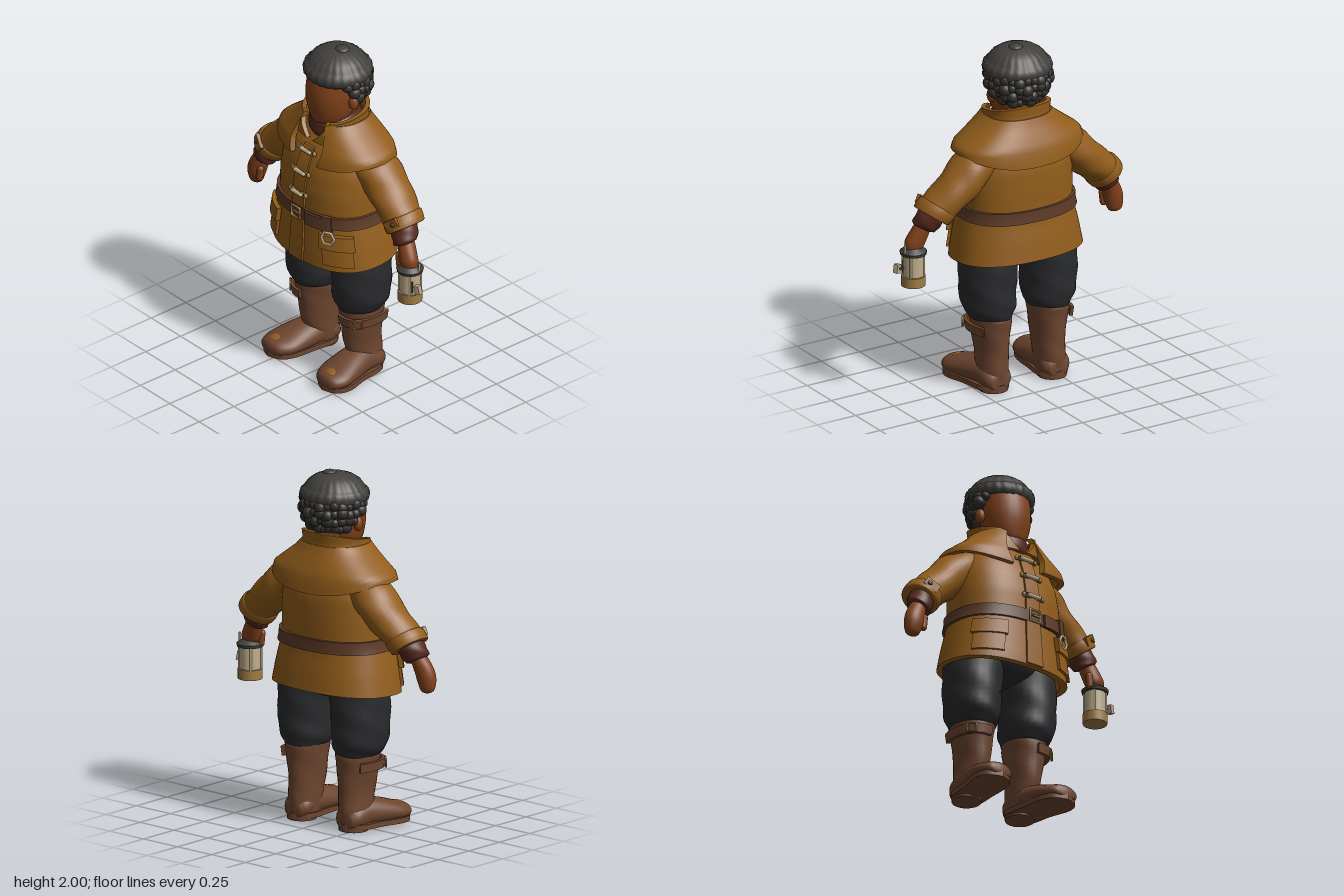
import * as THREE from 'three';

const mat = (name, color) => Object.assign(new THREE.MeshStandardMaterial({ color }), { name });
const M = {
  coat: mat('ochre coat', 0x925d1b), skin: mat('brown skin', 0x82421a), pants: mat('charcoal cloth', 0x2a2b2d),
  boot: mat('boot leather', 0x6e4630), belt: mat('belt leather', 0x5e3b28), hat: mat('grey wool', 0x42403d),
  hair: mat('dark hair', 0x353330), scarf: mat('maroon knit', 0x56281f), cream: mat('cream', 0xbfae8c),
  brass: mat('brass', 0xa07c45),
};

// Body profiles: [y, half width, front z, back z]
const COAT = [[0.775, 0.385, 0.27, -0.285], [0.9, 0.362, 0.262, -0.268], [1.0, 0.34, 0.255, -0.25], [1.06, 0.325, 0.252, -0.245],
  [1.2, 0.325, 0.247, -0.245], [1.32, 0.315, 0.225, -0.24], [1.42, 0.28, 0.185, -0.215], [1.5, 0.22, 0.125, -0.195], [1.58, 0.13, 0.09, -0.15]];
const CAPE = [[1.33, 0.375, 0.225, -0.26], [1.4, 0.377, 0.215, -0.25], [1.45, 0.367, 0.2, -0.238], [1.5, 0.3, 0.18, -0.215],
  [1.56, 0.22, 0.16, -0.185], [1.62, 0.16, 0.135, -0.16]];
const COLLAR = [[1.47, 0.225, 0.17, -0.2], [1.54, 0.2, 0.165, -0.185], [1.6, 0.172, 0.145, -0.16], [1.67, 0.183, 0.15, -0.165]];
const SHAFT = [[0.3, 0.1, 0.085, -0.165], [0.44, 0.116, 0.102, -0.182]];

const lerp = THREE.MathUtils.lerp;
const pw = (v, e) => Math.sign(v) * Math.abs(v) ** e;

// Point on a profile at height y and angle t (0 = front), pushed out by off
function surf(rows, y, t, off = 0) {
  let i = 0;
  while (i < rows.length - 2 && y > rows[i + 1][0]) i++;
  const a = rows[i], b = rows[i + 1], k = THREE.MathUtils.clamp((y - a[0]) / (b[0] - a[0]), 0, 1);
  const [rx, f, r] = [1, 2, 3].map(j => lerp(a[j], b[j], k));
  return new THREE.Vector3((rx + off) * pw(Math.sin(t), 0.85), y, (f + r) / 2 + ((f - r) / 2 + off) * pw(Math.cos(t), 0.85));
}

// Curved plate wrapped over a profile; angles depend on height, heights on angle
function wrap(rows, ang, hgt, o0, o1, nx = 24, ny = 6) {
  const g = new THREE.BoxGeometry(1, 1, 1, nx, ny, 1), p = g.attributes.position;
  for (let i = 0; i < p.count; i++) {
    const [a0, a1] = ang(p.getY(i) + 0.5), t = lerp(a0, a1, p.getX(i) + 0.5);
    const [y0, y1] = hgt(t);
    const q = surf(rows, lerp(y0, y1, p.getY(i) + 0.5), t, lerp(o0, o1, p.getZ(i) + 0.5));
    p.setXYZ(i, q.x, q.y, q.z);
  }
  g.computeVertexNormals();
  return g;
}

// Skin over rings [x, y, z, ru, rv, tilt]; flat = rings stand upright for a path along z
function loft(rows, { sub = 4, n = 28, upright = false, ripple = 0 } = {}) {
  const P = new THREE.CatmullRomCurve3(rows.map(r => new THREE.Vector3(r[0], r[1], r[2])), false, 'catmullrom');
  const R = new THREE.CatmullRomCurve3(rows.map(r => new THREE.Vector3(r[3], r[4], r[5] || 0)), false, 'catmullrom');
  const m = (rows.length - 1) * sub, pos = [], idx = [];
  for (let i = 0; i <= m; i++) {
    const c = P.getPoint(i / m), r = R.getPoint(i / m);
    for (let j = 0; j < n; j++) {
      const t = j / n * Math.PI * 2, w = 1 + ripple * Math.sin(3 * t + i * 1.1);
      const u = Math.sin(t) * r.x * w, v = Math.cos(t) * r.y * w;
      if (upright) pos.push(c.x + u, c.y + v, c.z);
      else pos.push(c.x + u * Math.cos(r.z), c.y + u * Math.sin(r.z), c.z + v);
      const k = (j + 1) % n, a = i * n;
      if (i < m) idx.push(a + j, a + k, a + n + k, a + j, a + n + k, a + n + j);
    }
  }
  const s = P.getPoint(0), e = P.getPoint(1), b = (m + 1) * n;
  pos.push(s.x, s.y, s.z, e.x, e.y, e.z);
  for (let j = 0; j < n; j++) idx.push(b, (j + 1) % n, j, b + 1, m * n + j, m * n + (j + 1) % n);
  const g = new THREE.BufferGeometry();
  g.setAttribute('position', new THREE.Float32BufferAttribute(pos, 3));
  g.setIndex(idx);
  g.computeVertexNormals();
  return g;
}

export function createModel() {
  const root = new THREE.Group(), body = new THREE.Group();
  root.name = 'lanternKeeper';
  body.name = 'figure';
  body.position.x = -0.033;
  root.add(body);
  const add = (name, geo, m, pos = [0, 0, 0], rot = [0, 0, 0], scl = [1, 1, 1]) => {
    const o = new THREE.Mesh(geo, m);
    o.name = name;
    o.position.set(...pos); o.rotation.set(...rot); o.scale.set(...scl);
    body.add(o);
    return o;
  };
  const fixed = (...v) => () => v;
  const ball = new THREE.SphereGeometry(1, 20, 14);
  const frame = (w, h) => new THREE.TorusGeometry(w, h, 6, 4).rotateZ(Math.PI / 4);

  // Coat: body with a hem that dips at the front
  const coat = wrap(COAT, fixed(-Math.PI, Math.PI), t => [0.775 - 0.02 * Math.cos(t), 1.58], -0.04, 0, 64, 24);
  add('coatBody', coat, M.coat);
  add('coatLining', new THREE.CylinderGeometry(0.33, 0.33, 0.02, 32), M.coat, [0, 0.83, -0.01], [0, 0, 0], [1, 1, 0.72]);
  add('coatPlacket', wrap(COAT, fixed(-0.1, 0.1), fixed(0.76, 1.44), 0, 0.014, 6, 16), M.coat);
  const gap = v => lerp(0.22, 0.42, v);
  add('shoulderCape', wrap(CAPE, v => [gap(v), 2 * Math.PI - gap(v)],
    t => [1.345 + 0.07 * Math.sin(t) ** 2 + 0.02 * Math.max(0, Math.cos(t)), 1.6], -0.02, 0.012, 64, 12), M.coat);
  add('collar', wrap(COLLAR, v => [lerp(0.06, 0.6, v), 2 * Math.PI - lerp(0.06, 0.6, v)],
    t => [1.48, 1.635 - 0.035 * Math.cos(t)], -0.012, 0.012, 48, 8), M.coat);

  // Belt, buckle and hanging ring
  add('belt', wrap(COAT, fixed(-Math.PI, Math.PI), fixed(1.02, 1.09), -0.01, 0.016, 64, 2), M.belt);
  add('beltEnd', wrap(COAT, fixed(0.15, 0.55), fixed(1.012, 1.085), 0.016, 0.03, 10, 2), M.belt);
  add('beltBuckle', frame(0.048, 0.008), M.brass, [0, 1.055, 0.28]);
  add('buckleTongue', new THREE.BoxGeometry(0.06, 0.01, 0.01), M.brass, [0.01, 1.055, 0.282]);
  const d = surf(COAT, 0.975, 0.6, 0.03);
  add('ringLoop', wrap(COAT, fixed(0.5, 0.68), fixed(1.0, 1.1), 0.01, 0.035, 4, 2), M.belt);
  add('hangingRing', new THREE.TorusGeometry(0.04, 0.009, 6, 6), M.cream, d.toArray(), [0, 0.4, 0]);

  // Toggles with cord loops
  for (const y of [1.42, 1.3, 1.175]) {
    const p = surf(COAT, y, 0, 0.026);
    add('toggle', new THREE.CapsuleGeometry(0.012, 0.07, 4, 10), M.cream, p.toArray(), [0, 0, Math.PI / 2]);
    for (const s of [-1, 1]) {
      add('cordLoop', new THREE.TorusGeometry(0.025, 0.006, 6, 14), M.brass, [s * 0.04, y, p.z - 0.008], [0, s * 0.15, 0], [1.2, 0.5, 1]);
      add('cordKnot', ball, M.brass, [s * 0.065, y, p.z - 0.012], [0, 0, 0], [0.011, 0.016, 0.012]);
    }
  }

  for (const s of [-1, 1]) {
    const side = (a, b) => s > 0 ? fixed(a, b) : fixed(-b, -a);
    const L = rows => rows.map(([x, y, z, u, v, t = 0]) => [x * s, y, z, u, v, t * s]);

    // Pockets
    add('pocket', wrap(COAT, side(0.46, 1.06), fixed(0.8, 0.95), 0, 0.016, 12, 4), M.coat);
    add('pocketFlap', wrap(COAT, side(0.42, 1.1), fixed(0.9, 0.985), 0.005, 0.03, 12, 3), M.coat);

    // Sleeve, cuff and hand
    add('sleeve', loft(L([[0.56, 1.105, -0.035, 0.098, 0.11, 0.62], [0.5, 1.165, -0.045, 0.1, 0.117, 0.66],
      [0.4, 1.25, -0.055, 0.107, 0.128, 0.7], [0.31, 1.34, -0.05, 0.11, 0.132, 0.7], [0.22, 1.4, -0.04, 0.1, 0.12, 0.75]]), { ripple: 0.025 }), M.coat);
    add('cuff', loft(L([[0.568, 1.097, -0.034, 0.09, 0.1, 0.62], [0.564, 1.1, -0.034, 0.106, 0.116, 0.62],
      [0.528, 1.143, -0.04, 0.107, 0.118, 0.64], [0.522, 1.148, -0.04, 0.095, 0.105, 0.64]]), { sub: 2 }), M.coat);
    add('cuffTab', new THREE.BoxGeometry(0.09, 0.05, 0.02), M.coat, [s * 0.562, 1.15, 0.068], [0, s * 0.35, s * 0.62]);
    add('cuffButton', ball, M.belt, [s * 0.58, 1.155, 0.076], [0, s * 0.35, 0], [0.014, 0.014, 0.008]);
    add('wristKnit', loft(L([[0.6, 1.02, -0.005, 0.055, 0.055, 0.5], [0.594, 1.032, -0.008, 0.071, 0.07, 0.5],
      [0.575, 1.07, -0.02, 0.074, 0.078, 0.55], [0.55, 1.115, -0.03, 0.07, 0.08, 0.6]]), { ripple: 0.03 }), M.scarf);
    const grip = s > 0 ? 0.035 : 0;
    add('hand', loft(L([[0.656, 0.84 + grip, 0.01, 0.012, 0.012, 0.1], [0.656, 0.855 + grip, 0.01, 0.04, 0.034, 0.15],
      [0.648, 0.91 + grip / 2, 0.012, 0.056, 0.048, 0.25], [0.632, 0.965, 0.008, 0.056, 0.05, 0.35], [0.6, 1.035, -0.005, 0.045, 0.048, 0.45]])), M.skin);
    add('thumb', new THREE.CapsuleGeometry(0.02, 0.06, 5, 12), M.skin, [s * 0.592, 0.925, 0.035], [0, 0, s * 0.12]);

    // Trouser leg
    add('trouserLeg', loft(L([[0.185, 0.415, -0.04, 0.1, 0.125], [0.187, 0.44, -0.035, 0.122, 0.145], [0.192, 0.5, -0.03, 0.148, 0.168],
      [0.197, 0.6, -0.028, 0.154, 0.174], [0.192, 0.72, -0.028, 0.162, 0.175], [0.18, 0.86, -0.03, 0.165, 0.17]]), { ripple: 0.018 }), M.pants);

    // Boot
    add('bootShaft', loft(L([[0.19, 0.03, -0.065, 0.083, 0.095], [0.186, 0.12, -0.058, 0.085, 0.108], [0.182, 0.22, -0.045, 0.086, 0.12],
      [0.185, 0.34, -0.04, 0.102, 0.13], [0.185, 0.425, -0.04, 0.114, 0.139], [0.185, 0.438, -0.04, 0.105, 0.13]]), { ripple: 0.012 }), M.boot);
    add('bootFoot', loft(L([[0.234, 0.055, 0.281, 0.02, 0.02], [0.233, 0.062, 0.262, 0.078, 0.042], [0.225, 0.068, 0.19, 0.112, 0.058],
      [0.21, 0.082, 0.08, 0.105, 0.078], [0.196, 0.09, -0.03, 0.09, 0.085], [0.19, 0.075, -0.12, 0.085, 0.07], [0.19, 0.06, -0.16, 0.055, 0.045]]), { upright: true }), M.boot);
    const outline = [[0.232, 0.285], [0.31, 0.25], [0.338, 0.17], [0.305, 0.04], [0.28, -0.1], [0.19, -0.166],
      [0.102, -0.1], [0.108, 0.04], [0.12, 0.17], [0.155, 0.25]].map(([x, z]) => new THREE.Vector2(x * s, -z));
    const sole = new THREE.ExtrudeGeometry(new THREE.Shape(new THREE.SplineCurve([...outline, outline[0]]).getPoints(50)),
      { depth: 0.03, bevelEnabled: false });
    add('sole', sole, M.boot, [0, 0.014, 0], [-Math.PI / 2, 0, 0]);
    add('heel', new THREE.CylinderGeometry(0.085, 0.082, 0.04, 24), M.boot, [s * 0.19, 0.02, -0.08]);
    add('toePatch', ball, M.coat, [s * 0.236, 0.109, 0.228], [0.35, 0, 0], [0.034, 0.009, 0.03]);
    add('bootStrap', wrap(SHAFT, side(-0.1, 2.2), fixed(0.345, 0.398), 0.002, 0.02, 18, 2), M.boot, [s * 0.185, 0, 0]);
    const b = surf(SHAFT, 0.372, s * 0.8, 0.024);
    add('strapBuckle', frame(0.034, 0.006), M.brass, [b.x + s * 0.185, b.y, b.z], [0, s * 0.75, 0]);

    // Ear
    add('ear', ball, M.skin, [s * 0.158, 1.715, -0.005], [0, s * -0.3, 0], [0.024, 0.042, 0.03]);
  }
  add('trouserSeat', ball, M.pants, [0, 0.85, -0.03], [0, 0, 0], [0.29, 0.13, 0.19]);

  // Neck scarf
  add('scarf', loft([[0, 1.42, -0.01, 0.08, 0.1], [0, 1.48, -0.01, 0.12, 0.14], [0, 1.53, -0.01, 0.14, 0.155],
    [0, 1.58, -0.01, 0.14, 0.145], [0, 1.61, -0.01, 0.11, 0.11]], { ripple: 0.02 }), M.scarf);

  // Head, hair and curls
  add('head', loft([[0, 1.555, 0.04, 0.03, 0.03], [0, 1.57, 0.035, 0.085, 0.095], [0, 1.62, 0.025, 0.122, 0.125], [0, 1.7, 0.02, 0.14, 0.145],
    [0, 1.78, 0.015, 0.143, 0.148], [0, 1.87, 0, 0.14, 0.145]]), M.skin);
  add('neck', new THREE.CylinderGeometry(0.095, 0.11, 0.16, 24), M.skin, [0, 1.6, -0.03]);
  add('hairMass', ball, M.hair, [0, 1.785, -0.06], [0, 0, 0], [0.168, 0.13, 0.135]);
  for (let row = 0; row < 4; row++) {
    const n = 17 - row * 2, span = 1.95 - row * 0.24;
    for (let i = 0; i < n; i++) {
      const t = Math.PI + lerp(-span, span, i / (n - 1)), r = [0.165, 0.168, 0.155, 0.125][row];
      const k = 0.032 + 0.006 * Math.sin(i * 2.3 + row);
      add('hairCurl', ball, M.hair, [Math.sin(t) * r, 1.83 - row * 0.043 + 0.008 * Math.sin(i * 1.9), -0.025 + Math.cos(t) * r], [0, 0, 0], [k, k, k]);
    }
  }

  // Ribbed knitted hat
  const hat = new THREE.LatheGeometry([[0.15, 1.835], [0.18, 1.828], [0.194, 1.845], [0.198, 1.87], [0.19, 1.895], [0.176, 1.902], [0.168, 1.915],
    [0.147, 1.943], [0.11, 1.968], [0.06, 1.984], [0, 1.988]].map(p => new THREE.Vector2(...p)), 96);
  const hp = hat.attributes.position;
  for (let i = 0; i < hp.count; i++) {
    const w = 1 + 0.014 * Math.cos(24 * Math.atan2(hp.getX(i), hp.getZ(i)));
    hp.setXYZ(i, hp.getX(i) * w, hp.getY(i), hp.getZ(i) * w);
  }
  hat.computeVertexNormals();
  add('hat', hat, M.hat, [0, 0, -0.024], [0, 0, 0], [0.985, 1, 0.96]);
  add('hatButton', ball, M.hat, [0.02, 1.982, -0.04], [0, 0, 0], [0.04, 0.018, 0.04]);

  // Lantern
  const cyl = (name, r0, r1, y0, y1, m) =>
    add(name, new THREE.CylinderGeometry(r1, r0, y1 - y0, 28), m, [0.653, (y0 + y1) / 2, 0.01]);
  cyl('lanternBase', 0.068, 0.068, 0.692, 0.75, M.brass);
  cyl('lanternGlass', 0.058, 0.058, 0.75, 0.88, M.cream);
  cyl('lanternRim', 0.072, 0.076, 0.875, 0.892, M.hat);
  cyl('lanternCap', 0.074, 0.04, 0.892, 0.92, M.hat);
  for (let i = 0; i < 4; i++) {
    const t = Math.PI / 4 + i * Math.PI / 2;
    add('lanternPost', new THREE.CylinderGeometry(0.007, 0.007, 0.13, 8), M.cream, [0.653 + Math.sin(t) * 0.06, 0.815, 0.01 + Math.cos(t) * 0.06]);
  }
  add('lanternHandle', new THREE.TorusGeometry(0.04, 0.006, 6, 16, Math.PI), M.hat, [0.653, 0.905, 0.01]);
  add('lanternPin', new THREE.CylinderGeometry(0.007, 0.007, 0.06, 8), M.cream, [0.715, 0.915, -0.005]);
  add('lanternSlot', new THREE.BoxGeometry(0.008, 0.07, 0.014), M.hat, [0.704, 0.8, 0.036], [0, 0.45, 0]);
  add('lanternLatchArm', new THREE.BoxGeometry(0.04, 0.012, 0.012), M.hat, [0.722, 0.8, 0.02]);
  add('lanternLatch', new THREE.BoxGeometry(0.03, 0.05, 0.03), M.cream, [0.745, 0.8, 0.03], [0, 0.3, 0.2]);
  return root;
}
